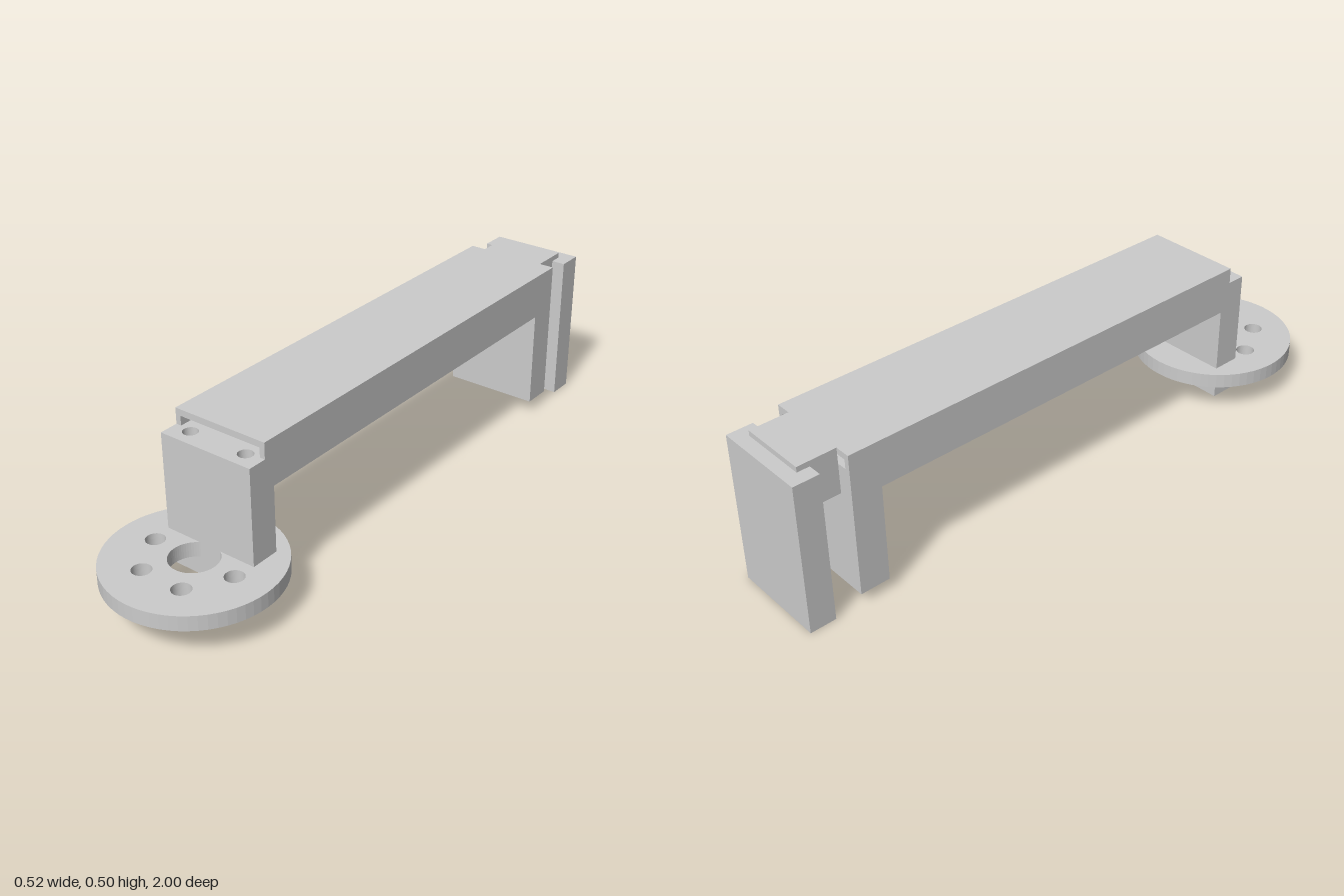
import * as THREE from 'three';

const W = 0.157;   // half width of the beam
const material = new THREE.MeshStandardMaterial({ color: 0xcccccc });

function add(parent, name, geometry) {
  const mesh = new THREE.Mesh(geometry, material);
  mesh.name = name;
  parent.add(mesh);
  return mesh;
}

// Box given by its limits on each axis
function block(parent, name, [x0, x1], [y0, y1], [z0, z1]) {
  const mesh = add(parent, name, new THREE.BoxGeometry(x1 - x0, y1 - y0, z1 - z0));
  mesh.position.set((x0 + x1) / 2, (y0 + y1) / 2, (z0 + z1) / 2);
  return mesh;
}

function polygon(points, Type = THREE.Shape) {
  return new Type(points.map(([x, y]) => new THREE.Vector2(x, y)));
}

function rectangle(x0, x1, y0, y1, Type) {
  return polygon([[x0, y0], [x1, y0], [x1, y1], [x0, y1]], Type);
}

function circle(x, y, r) {
  return new THREE.Path().absarc(x, y, r, 0, Math.PI * 2, true);
}

// Cross-section in x,y swept along z
function sweep(shape, z0, z1) {
  return new THREE.ExtrudeGeometry(shape, { depth: z1 - z0, bevelEnabled: false }).translate(0, 0, z0);
}

// Plan outline (x, -z) raised between two heights
function raise(shape, y0, y1) {
  return new THREE.ExtrudeGeometry(shape, { depth: y1 - y0, bevelEnabled: false, curveSegments: 32 })
    .rotateX(-Math.PI / 2).translate(0, y0, 0);
}

export function createModel() {
  const model = new THREE.Group();
  model.name = 'bracketArm';

  // Beam with a flat channel running along its inside
  const beam = rectangle(-W, W, 0.355, 0.5);
  beam.holes.push(rectangle(-0.14, 0.14, 0.45, 0.48, THREE.Path));
  add(model, 'beam', sweep(beam, -0.835, 0.585));

  // Short hood over the front post
  const hood = polygon([[-W, 0.45], [-0.14, 0.45], [-0.14, 0.48], [0.14, 0.48],
    [0.14, 0.45], [W, 0.45], [W, 0.5], [-W, 0.5]]);
  add(model, 'channelHood', sweep(hood, 0.585, 0.617));

  // Front post with two blind screw holes in its top
  block(model, 'frontPost', [-W, W], [0.04, 0.28], [0.585, 0.677]);
  const postTop = rectangle(-W, W, -0.677, -0.585);
  for (const side of [-1, 1]) postTop.holes.push(circle(side * 0.098, -0.625, 0.023));
  add(model, 'frontPostTop', raise(postTop, 0.28, 0.45));

  // Rear post, tongue and clamp plate
  block(model, 'rearPost', [-W, W], [0.04, 0.355], [-0.835, -0.74]);
  block(model, 'rearTongue', [-0.108, 0.108], [0.355, 0.5], [-0.957, -0.835]);
  block(model, 'clampPlate', [-0.152, 0.152], [0, 0.483], [-1, -0.918]);

  // Round flange with a centre bore and a ring of six holes
  const flange = new THREE.Shape().absarc(0, -0.74, 0.26, 0, Math.PI * 2, false);
  flange.holes.push(circle(0, -0.74, 0.073));
  for (let i = 0; i < 6; i++) {
    const a = i * Math.PI / 3;
    flange.holes.push(circle(0.145 * Math.cos(a), -0.74 + 0.145 * Math.sin(a), 0.029));
  }
  add(model, 'flange', raise(flange, 0.1, 0.147));

  return model;
}
